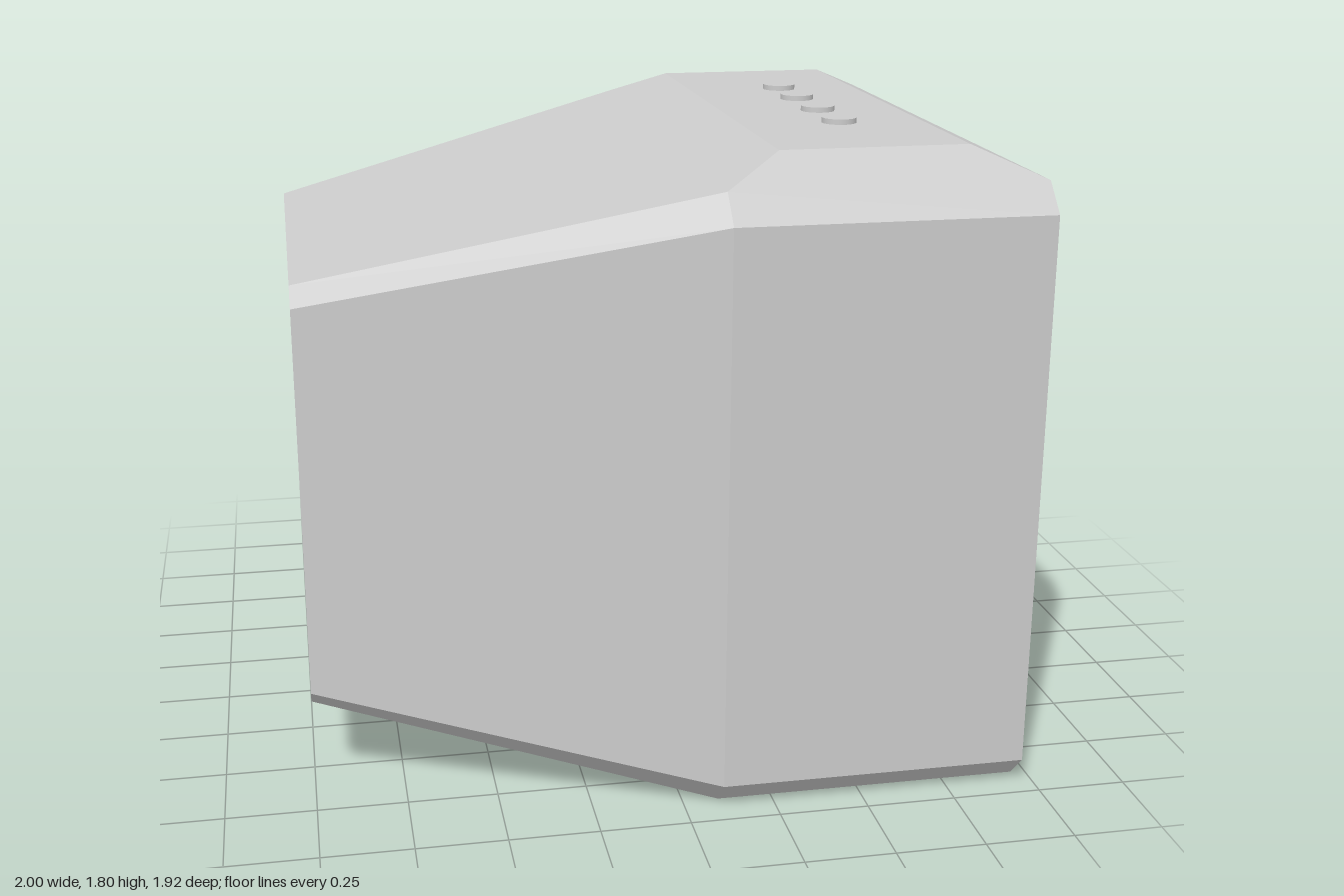
import * as THREE from 'three';

const material = new THREE.MeshStandardMaterial({ color: 0xcccccc });

// Flat-faced skin through a list of rings, each an array of [x, y, z]
function loft(rings, capStart = false, capEnd = false) {
  const pos = [];
  const tri = (a, b, c) => pos.push(...a, ...b, ...c);
  for (let r = 0; r < rings.length - 1; r++) {
    const A = rings[r], B = rings[r + 1], n = A.length;
    for (let i = 0; i < n; i++) {
      const j = (i + 1) % n;
      tri(A[i], A[j], B[j]);
      tri(A[i], B[j], B[i]);
    }
  }
  const first = rings[0], last = rings[rings.length - 1];
  for (let i = 1; i < first.length - 1; i++) {
    if (capStart) tri(first[0], first[i + 1], first[i]);
    if (capEnd) tri(last[0], last[i], last[i + 1]);
  }
  const g = new THREE.BufferGeometry();
  g.setAttribute('position', new THREE.Float32BufferAttribute(pos, 3));
  g.computeVertexNormals();
  return g;
}

// Upright rectangle with chamfered corners, counter-clockwise from the front
const octagon = (w, y0, y1, cx, cy, z) => [
  [w - cx, y0, z], [w, y0 + cy, z], [w, y1 - cy, z], [w - cx, y1, z],
  [cx - w, y1, z], [-w, y1 - cy, z], [-w, y0 + cy, z], [cx - w, y0, z],
];
const rect = (w, y0, y1, z) => [[w, y0, z], [w, y1, z], [-w, y1, z], [-w, y0, z]];
const flatRect = (w, z0, z1, y) => [[w, y, z1], [w, y, z0], [-w, y, z0], [-w, y, z1]];

export function createModel() {
  const model = new THREE.Group();
  model.name = 'monitor';
  // Built with the screen towards +z, then turned to face +x
  const set = new THREE.Group();
  set.name = 'monitorBody';
  set.rotation.y = Math.PI / 2;
  model.add(set);

  const add = (name, geometry, x = 0, y = 0, z = 0) => {
    const mesh = new THREE.Mesh(geometry, material);
    mesh.name = name;
    mesh.position.set(x, y, z);
    set.add(mesh);
    return mesh;
  };

  // Casing: straight front half, tapered rear
  const front = octagon(0.96, 0, 1.715, 0.075, 0.077, 0.96);
  add('casing', loft([
    octagon(0.67, 0.265, 1.455, 0.055, 0.05, -1),
    octagon(0.96, 0, 1.715, 0.075, 0.077, 0.1),
    front,
  ], true));

  // Raised panel on top
  add('topPanel', loft([
    flatRect(0.885, 0.1, 0.96, 1.715),
    flatRect(0.74, 0.27, 0.79, 1.79),
  ], false, true));

  // Front bezel with the screen opening
  const opening = rect(0.8, 0.155, 1.56, 0.96);
  const toVec = ([x, y]) => new THREE.Vector2(x, y);
  const bezel = new THREE.Shape(front.map(toVec));
  bezel.holes.push(new THREE.Path(opening.map(toVec)));
  add('bezel', new THREE.ShapeGeometry(bezel), 0, 0, 0.96);

  // Sloped walls of the recess
  add('screenRecess', loft([opening, rect(0.758, 0.186, 1.53, 0.74)]));

  // Bulging screen
  const glass = new THREE.PlaneGeometry(1.56, 1.375, 28, 28);
  const p = glass.attributes.position;
  for (let i = 0; i < p.count; i++) {
    p.setZ(i, -0.107 * (p.getX(i) ** 2 + p.getY(i) ** 2));
  }
  glass.computeVertexNormals();
  add('screen', glass, 0, 0.858, 0.86);

  // Knobs below the screen
  for (const x of [0.5, 0.625, 0.75]) {
    const knob = add('frontKnob', new THREE.CylinderGeometry(0.049, 0.049, 0.05, 32), x, 0.075, 0.975);
    knob.rotation.x = Math.PI / 2;
  }

  // Buttons on the top panel
  for (const x of [-0.335, -0.115, 0.115, 0.33]) {
    add('topButton', new THREE.CylinderGeometry(0.049, 0.049, 0.03, 32), x, 1.79, 0.55);
  }
  return model;
}
